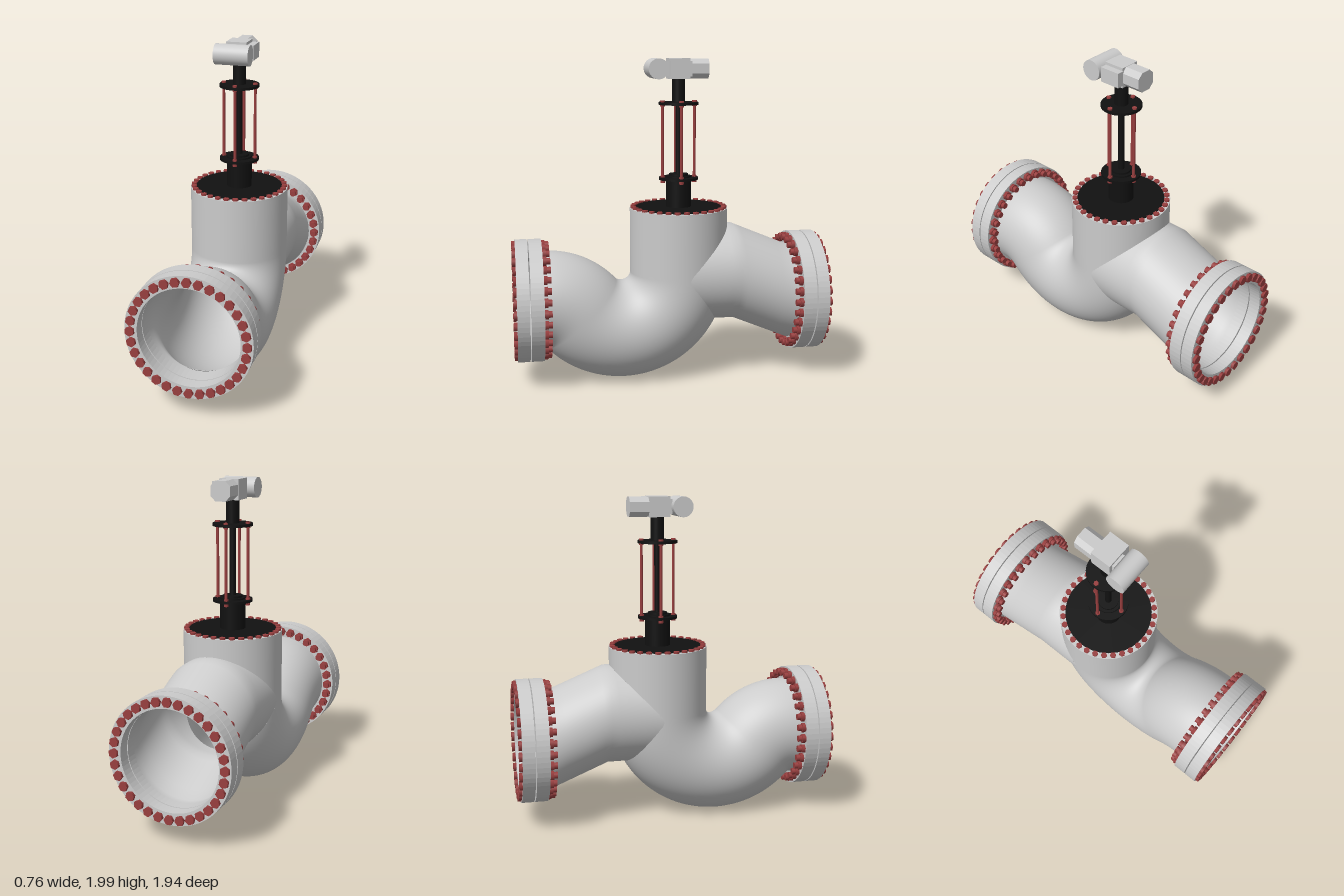
import * as THREE from 'three';

const paint = (color, side = THREE.FrontSide) => new THREE.MeshStandardMaterial({ color, side, roughness: 0.7 });
const R = 0.305;               // pipe radius
const AXIS = -0.07;            // z of the stem axis
const PIVOT = { z: 0.29, y: 0.675, r: 0.36 };   // lower elbow
const { hypot, sin, cos, PI } = Math;

// Sweep circles through sections { z, y, tilt }; tilt turns the ring about x
function sweep(sections, radius, n = 72) {
  const pos = [], idx = [];
  sections.forEach(({ z, y, tilt }, i) => {
    for (let j = 0; j < n; j++) {
      const a = j / n * 2 * PI, u = radius * sin(a);
      pos.push(radius * cos(a), y + u * cos(tilt), z - u * sin(tilt));
      if (i === sections.length - 1) continue;
      const p = i * n + j, q = i * n + (j + 1) % n;
      idx.push(p, q, p + n, q, q + n, p + n);
    }
  });
  const g = new THREE.BufferGeometry();
  g.setAttribute('position', new THREE.Float32BufferAttribute(pos, 3));
  g.setIndex(idx);
  g.computeVertexNormals();
  return g;
}

// Keep only the surface where field(point) >= 0, cutting triangles on the seam
function clip(geometry, field) {
  const g = geometry.toNonIndexed(), P = g.attributes.position, N = g.attributes.normal;
  const pos = [], nor = [];
  for (let t = 0; t < P.count; t += 3) {
    const tri = [0, 1, 2].map(k => {
      const p = new THREE.Vector3().fromBufferAttribute(P, t + k);
      return { p, n: new THREE.Vector3().fromBufferAttribute(N, t + k), f: field(p) };
    });
    const poly = [];
    tri.forEach((a, k) => {
      const b = tri[(k + 1) % 3];
      if (a.f >= 0) poly.push(a);
      if ((a.f >= 0) !== (b.f >= 0)) {
        const s = a.f / (a.f - b.f);
        poly.push({ p: a.p.clone().lerp(b.p, s), n: a.n.clone().lerp(b.n, s).normalize() });
      }
    });
    for (let k = 1; k + 1 < poly.length; k++)
      for (const v of [poly[0], poly[k], poly[k + 1]]) { pos.push(...v.p); nor.push(...v.n); }
  }
  const out = new THREE.BufferGeometry();
  out.setAttribute('position', new THREE.Float32BufferAttribute(pos, 3));
  out.setAttribute('normal', new THREE.Float32BufferAttribute(nor, 3));
  return out;
}

// Flat ring with square edges, lying along y from 0 to h
function ring(inner, outer, h) {
  const s = new THREE.Shape().absarc(0, 0, outer, 0, 2 * PI);
  s.holes.push(new THREE.Path().absarc(0, 0, inner, 0, 2 * PI, true));
  return new THREE.ExtrudeGeometry(s, { depth: h, bevelEnabled: false, curveSegments: 36 }).rotateX(-PI / 2);
}

export function createModel() {
  const model = new THREE.Group();
  const grey = paint(0xcccccc), shell = paint(0xcccccc, THREE.DoubleSide);
  const black = paint(0x111111), red = paint(0x993f3f);

  const add = (parent, name, geometry, material, x = 0, y = 0, z = 0) => {
    const m = new THREE.Mesh(geometry, material);
    m.name = name;
    m.position.set(x, y, z);
    parent.add(m);
    return m;
  };
  // Upright cylinder between two heights on a parent's axis
  const post = (parent, name, r, y0, y1, material, x = 0, z = 0, sides = 32) =>
    add(parent, name, new THREE.CylinderGeometry(r, r, y1 - y0, sides), material, x, (y0 + y1) / 2, z);
  const boltCircle = (parent, name, count, radius, size, y0, y1, sides = 6) => {
    for (let i = 0; i < count; i++) {
      const a = i / count * 2 * PI;
      post(parent, name, size, y0, y1, red, radius * cos(a), radius * sin(a), sides).rotation.y = -a;
    }
  };

  // Main body: upright chamber, lower elbow, reverse bend to the front flange
  const path = [], bend = 47 * PI / 180, r2 = 0.284, reach = PIVOT.r + r2;
  for (let i = 0; i < 16; i++) path.push({ z: AXIS, y: 1.08 - i / 16 * (1.08 - PIVOT.y), tilt: -PI / 2 });
  for (let i = 0; i <= 48; i++) {
    const t = -PI / 2 + i / 48 * (PI / 2 + bend);
    path.push({ z: PIVOT.z + PIVOT.r * sin(t), y: PIVOT.y - PIVOT.r * cos(t), tilt: t });
  }
  for (let i = 1; i <= 16; i++) {
    const t = bend * (1 - i / 16);
    path.push({
      z: PIVOT.z + reach * sin(bend) - r2 * sin(t),
      y: PIVOT.y - reach * cos(bend) + r2 * cos(t), tilt: t,
    });
  }
  path.push({ z: 0.8, y: 0.52, tilt: 0 });

  // Rear branch: slopes up from the flange, then runs level into the chamber
  const branchY = z => z > -0.41 ? 0.665 : 0.665 + (z + 0.41) * 0.145 / 0.35;
  const branchPath = [{ z: -0.8, y: 0.52, tilt: 0 }];
  for (const z of [-0.76, -0.68, -0.6, -0.52, -0.45, -0.41, -0.36, -0.3, -0.24, -0.18, -0.12, AXIS])
    branchPath.push({ z, y: branchY(z), tilt: 0 });

  const inBranch = p => Math.max(hypot(p.x, p.y - branchY(p.z)) - R + 0.001, p.z - AXIS);
  const inBody = p => p.y > PIVOT.y
    ? hypot(p.x, p.z - AXIS) - R
    : hypot(hypot(p.z - PIVOT.z, p.y - PIVOT.y) - PIVOT.r, p.x) - R;
  add(model, 'valveBody', clip(sweep(path, R), inBranch), shell);
  add(model, 'rearBranch', clip(sweep(branchPath, R - 0.001), inBody), shell);

  // Paired end flanges, built upright and then turned outward
  for (const side of [1, -1]) {
    const flange = new THREE.Group();
    flange.name = side > 0 ? 'frontFlange' : 'rearFlange';
    add(flange, 'innerFlangeRing', ring(R, 0.38, 0.079), grey, 0, 0.79);
    add(flange, 'outerFlangeRing', ring(R, 0.38, 0.075), grey, 0, 0.876);
    boltCircle(flange, 'boltHead', 32, 0.345, 0.029, 0.95, 0.97);
    boltCircle(flange, 'nut', 32, 0.345, 0.029, 0.768, 0.792);
    boltCircle(flange, 'boltEnd', 32, 0.345, 0.02, 0.745, 0.77, 10);
    flange.position.y = 0.52;
    flange.rotation.x = side * PI / 2;
    model.add(flange);
  }

  // Everything on the stem axis
  const stem = new THREE.Group();
  stem.name = 'bonnetAndStem';
  stem.position.z = AXIS;
  model.add(stem);
  add(stem, 'bonnetRim', ring(0.25, R, 0.015), grey, 0, 1.065);
  post(stem, 'bonnetCover', 0.268, 1.065, 1.086, black, 0, 0, 64);
  boltCircle(stem, 'bonnetBolt', 32, 0.284, 0.019, 1.075, 1.092);
  post(stem, 'stuffingBox', 0.078, 1.08, 1.28, black);
  post(stem, 'gland', 0.06, 1.28, 1.292, black);
  post(stem, 'lowerYokePlate', 0.122, 1.255, 1.27, black, 0, 0, 48);
  post(stem, 'upperYokePlate', 0.122, 1.718, 1.734, black, 0, 0, 48);
  post(stem, 'stemRod', 0.019, 1.28, 1.72, black);
  post(stem, 'neck', 0.04, 1.73, 1.88, black);
  boltCircle(stem, 'yokeRod', 4, 0.1, 0.009, 1.24, 1.74, 12);
  for (const [y0, y1] of [[1.236, 1.255], [1.27, 1.28], [1.708, 1.718], [1.734, 1.744]])
    boltCircle(stem, 'yokeNut', 4, 0.1, 0.015, y0, y1);

  // Actuator: cross motor, gearbox, chamfered rear housing, side cover
  const drive = new THREE.Group();
  drive.name = 'actuator';
  drive.position.y = 1.938;
  model.add(drive);
  const block = (name, w, h, d, x, y, z) => add(drive, name, new THREE.BoxGeometry(w, h, d), grey, x, y, z);
  add(drive, 'motor', new THREE.CylinderGeometry(0.062, 0.062, 0.212, 40).rotateZ(PI / 2), grey, 0, 0, 0.069);
  block('motorMount', 0.09, 0.09, 0.03, 0, 0, 0);
  block('gearbox', 0.126, 0.124, 0.13, 0, 0, -0.066);
  block('sideCover', 0.05, 0.09, 0.13, 0.08, 0, -0.07);
  const c = 0.03, w = 0.062, h = 0.06;
  const octagon = new THREE.Shape([[-w, -h + c], [-w + c, -h], [w - c, -h], [w, -h + c],
    [w, h - c], [w - c, h], [-w + c, h], [-w, h - c]].map(p => new THREE.Vector2(...p)));
  add(drive, 'rearHousing', new THREE.ExtrudeGeometry(octagon, { depth: 0.13, bevelEnabled: false }), grey, 0, 0, -0.25);
  return model;
}
